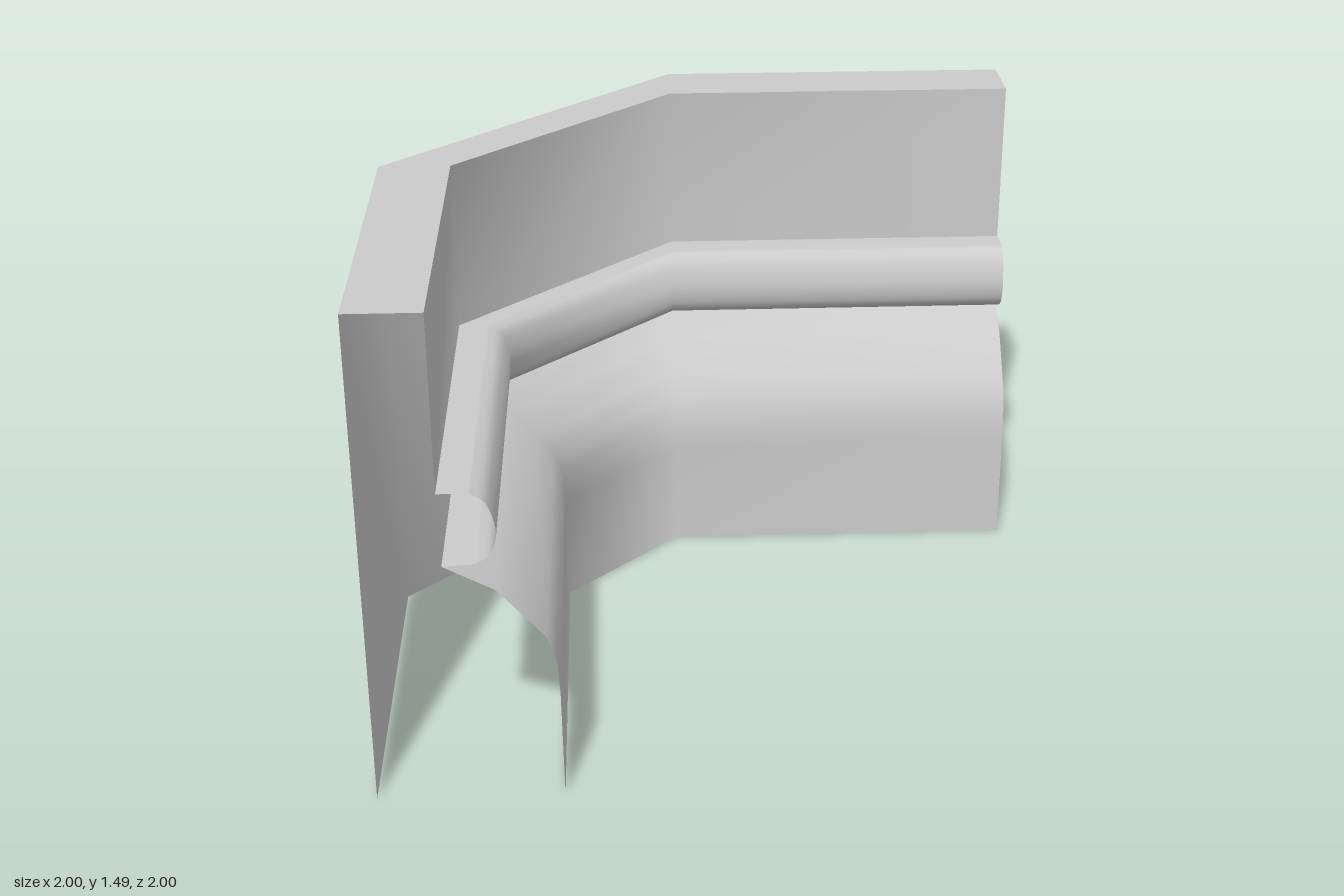
import * as THREE from 'three';

// Sweeps one smooth run of profile points [u, y] along the chamfered corner path.
function sweep(name, profile, material) {
  const C = -0.11; // both bends lie on this line at every depth
  const positions = [], index = [];
  for (const [u, y] of profile) {
    const path = [[u, 1], [u, C], [C, u], [1, u]];
    for (const [x, z] of path) positions.push(x, y, z);
  }
  for (let i = 0; i < profile.length - 1; i++) {
    for (let j = 0; j < 3; j++) {
      const a = i * 4 + j, b = a + 4;
      index.push(a, b, a + 1, b, b + 1, a + 1);
    }
  }
  const geometry = new THREE.BufferGeometry();
  geometry.setAttribute('position', new THREE.Float32BufferAttribute(positions, 3));
  geometry.setIndex(index);
  geometry.computeVertexNormals();
  const mesh = new THREE.Mesh(geometry, material);
  mesh.name = name;
  return mesh;
}

export function createModel() {
  const group = new THREE.Group();
  group.name = 'cornerMoulding';
  const material = new THREE.MeshStandardMaterial({ color: 0xcccccc, side: THREE.DoubleSide });

  // Rounded front of the bead
  const bead = new THREE.SplineCurve([
    [-0.7, 0.965], [-0.655, 0.935], [-0.63, 0.855], [-0.645, 0.785], [-0.69, 0.752],
  ].map(([u, y]) => new THREE.Vector2(u, y))).getPoints(16).map(p => [p.x, p.y]);

  // Each part is a run of the section; creases fall between parts
  const parts = {
    backWall: [[-1, 0], [-1, 1.485]],
    topEdge: [[-1, 1.485], [-0.785, 1.485]],
    upperWall: [[-0.785, 1.485], [-0.785, 0.965]],
    bead: [[-0.785, 0.965], ...bead, [-0.78, 0.745]],
    coveAndSkirt: [[-0.78, 0.745], [-0.64, 0.67], [-0.56, 0.58], [-0.505, 0.515],
      [-0.48, 0.43], [-0.474, 0.34], [-0.47, 0]],
  };
  for (const [name, profile] of Object.entries(parts)) group.add(sweep(name, profile, material));
  return group;
}
